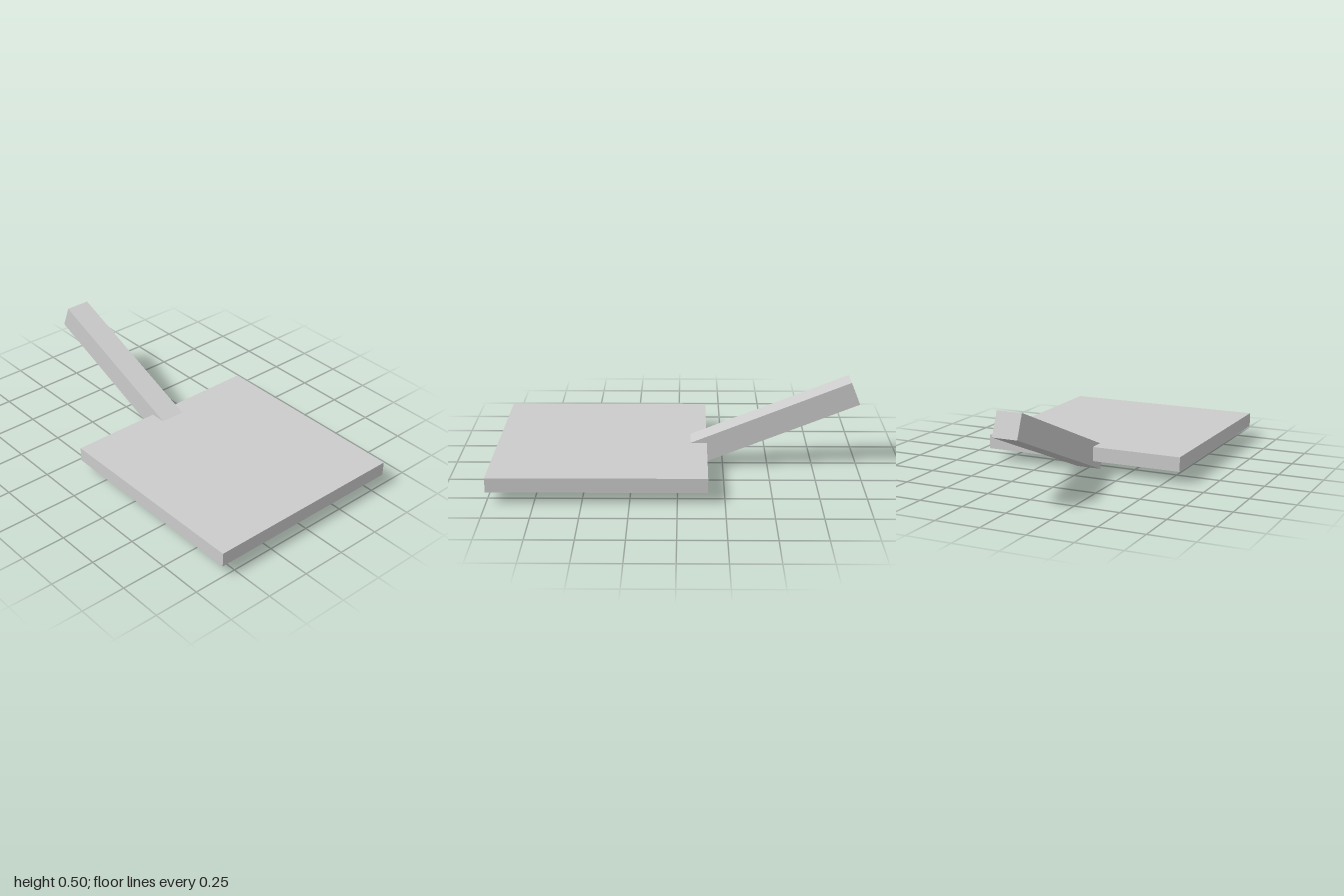
import * as THREE from 'three';

export function createModel() {
  const model = new THREE.Group();
  const grey = new THREE.MeshStandardMaterial({ color: 0xcccccc });
  grey.name = 'light grey';

  const addBox = (name, size, position) => {
    const mesh = new THREE.Mesh(new THREE.BoxGeometry(...size), grey);
    mesh.name = name;
    mesh.position.set(...position);
    model.add(mesh);
    return mesh;
  };

  // Flat square blade
  addBox('blade', [1.16, 0.08, 1.16], [0, 0.108, 0.42]);

  // Square bar handle, rising towards the back
  const handle = addBox('handle', [0.14, 0.136, 1.005], [0, 0.251, -0.508]);
  handle.rotation.x = 0.382;

  return model;
}
